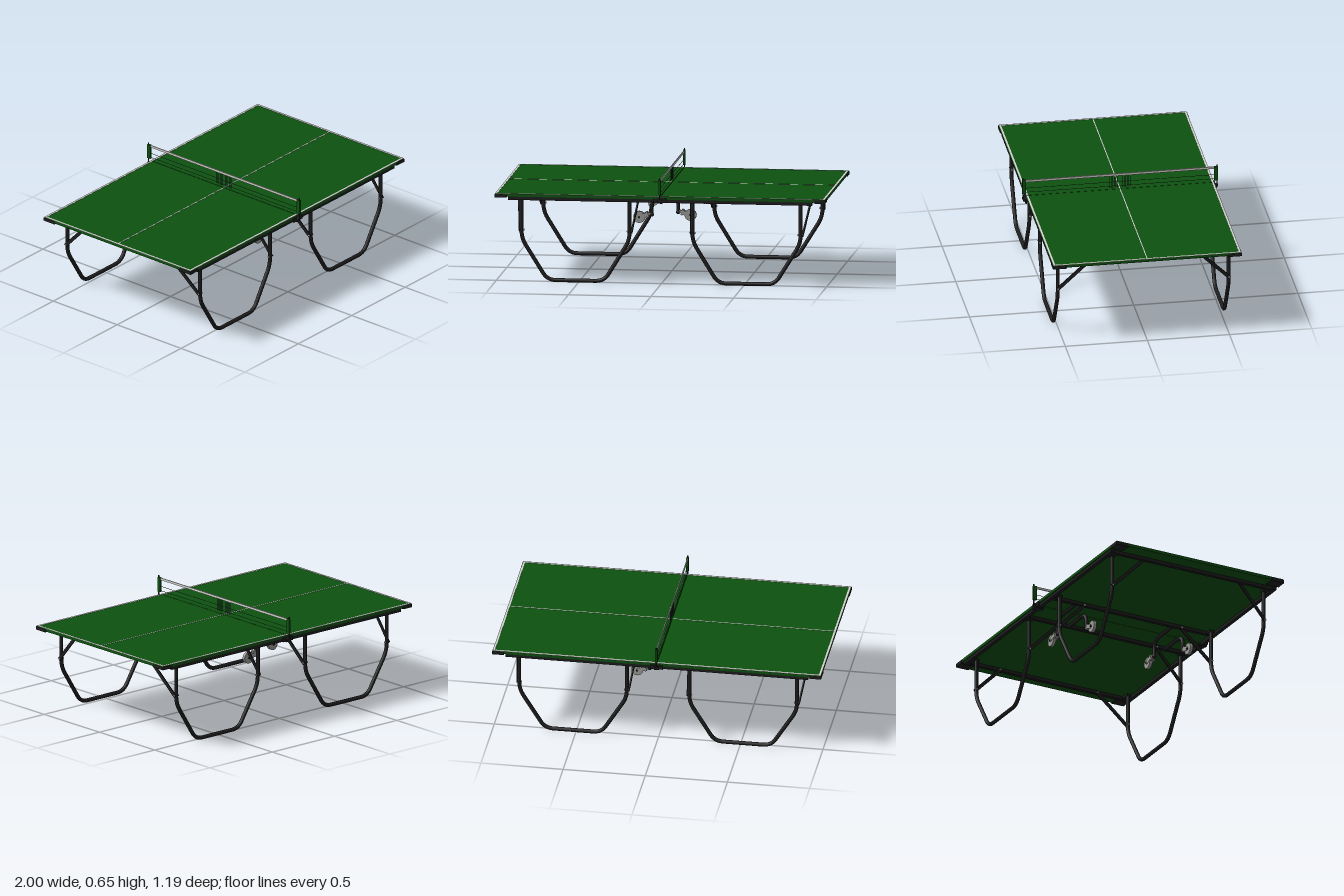
import * as THREE from 'three';

const mat = (name, color) => {
  const m = new THREE.MeshStandardMaterial({ color });
  m.name = name;
  return m;
};

export function createModel() {
  const green = mat('table green', 0x0e5210);
  const black = mat('frame black', 0x1e1e1f);
  const white = mat('line white', 0xd2d2ce);
  const grey = mat('caster grey', 0x9c9c9a);
  const cord = mat('net cord', 0x30343a);
  const model = new THREE.Group();
  model.name = 'tableTennisTable';

  const add = (name, geometry, material, x = 0, y = 0, z = 0, parent = model) => {
    const m = new THREE.Mesh(geometry, material);
    m.name = name;
    m.position.set(x, y, z);
    parent.add(m);
    return m;
  };
  const box = (name, material, w, h, d, x, y, z) =>
    add(name, new THREE.BoxGeometry(w, h, d), material, x, y, z);
  const rod = (name, material, r, len, x, y, z, axis = 'y') => {
    const g = new THREE.CylinderGeometry(r, r, len, 20);
    if (axis === 'z') g.rotateX(Math.PI / 2);
    if (axis === 'x') g.rotateZ(Math.PI / 2);
    return add(name, g, material, x, y, z);
  };

  // Flat bar between two points
  const bar = (name, material, a, b, thick, wide) => {
    const m = add(name, new THREE.BoxGeometry(thick, wide, a.distanceTo(b)), material);
    m.position.copy(a).lerp(b, 0.5);
    m.lookAt(b);
    return m;
  };

  // Bent tube: straight runs with rounded corners, in a plane of constant z
  const bentTube = (name, pts, z, r, bend) => {
    const p = pts.map(([x, y]) => new THREE.Vector3(x, y, z));
    const path = new THREE.CurvePath();
    let last = p[0];
    for (let i = 1; i < p.length - 1; i++) {
      const before = p[i].clone().add(p[i - 1].clone().sub(p[i]).setLength(bend));
      const after = p[i].clone().add(p[i + 1].clone().sub(p[i]).setLength(bend));
      path.add(new THREE.LineCurve3(last, before));
      path.add(new THREE.QuadraticBezierCurve3(before, p[i], after));
      last = after;
    }
    path.add(new THREE.LineCurve3(last, p[p.length - 1]));
    return add(name, new THREE.TubeGeometry(path, 90, r, 12, false), black);
  };

  const halfD = 0.572, topY = 0.54;

  for (const s of [-1, 1]) {
    // Playing surface half with its painted lines
    box('tabletop', green, 0.997, 0.017, halfD * 2, s * 0.5, topY - 0.0085, 0);
    const lineY = topY + 0.0006;
    box('endLine', white, 0.013, 0.0016, halfD * 2, s * 0.992, lineY, 0);
    for (const t of [-1, 1])
      box('sideLine', white, 0.984, 0.0016, 0.013, s * 0.4935, lineY, t * (halfD - 0.0065));
    box('centreLine', white, 0.984, 0.0016, 0.006, s * 0.4935, lineY, 0);

    // Cross members under the top
    for (const x of [0.9, 0.155])
      box('crossMember', black, 0.022, 0.02, 1.13, s * x, 0.512, 0);

    for (const t of [-1, 1]) {
      // Side rail and corner guard
      box('sideRail', black, 0.905, 0.02, 0.022, s * 0.4675, 0.5125, t * 0.556);
      box('cornerGuardEnd', black, 0.01, 0.016, 0.085, s * 0.9955, 0.5285, t * 0.5325);
      box('cornerGuardSide', black, 0.07, 0.016, 0.01, s * 0.9655, 0.5285, t * 0.57);
      box('cornerGuardPlate', black, 0.07, 0.006, 0.085, s * 0.9655, 0.52, t * 0.5325);

      // Looped leg
      bentTube('leg', [
        [s * 0.845, 0.515], [s * 0.845, 0.265], [s * 0.688, 0.013],
        [s * 0.345, 0.013], [s * 0.19, 0.265], [s * 0.19, 0.515],
      ], t * 0.52, 0.012, 0.05);

      // Leg mounts, diagonal braces and their bolts
      for (const [legX, topX] of [[0.845, 0.888], [0.19, 0.155]]) {
        box('legMount', black, Math.abs(topX - legX) + 0.025, 0.014, 0.03,
          s * (legX + topX) / 2, 0.512, t * 0.52);
        const out = Math.sign(topX - legX);
        const low = new THREE.Vector3(s * (legX + out * 0.012), 0.312, t * 0.525);
        const high = new THREE.Vector3(s * topX, 0.512, t * 0.328);
        bar('brace', black, low, high, 0.007, 0.021);
        rod('braceBolt', grey, 0.006, 0.034, s * legX, 0.317, t * 0.52, 'x');
        rod('braceBolt', grey, 0.006, 0.026, s * topX, 0.508, t * 0.333, 'x');
      }
    }

    // Caster arms reach across the fold and turn down
    for (const z of s > 0 ? [0.275, -0.385] : [0.39, -0.27]) {
      bentTube('casterArm', [
        [-s * 0.16, 0.507], [s * 0.073, 0.507], [s * 0.073, 0.4],
      ], z, 0.0115, 0.065);
      add('armCap', new THREE.SphereGeometry(0.0135, 16, 10), black, s * 0.073, 0.403, z);
      const hub = new THREE.Vector3(s * 0.148, 0.387, z);
      const root = new THREE.Vector3(s * 0.093, 0.405, z);
      bar('casterStem', grey, new THREE.Vector3(s * 0.07, 0.41, z), root, 0.018, 0.018);
      bar('forkBridge', grey, root, new THREE.Vector3(s * 0.105, 0.401, z), 0.03, 0.036);
      for (const t of [-1, 1]) {
        const off = new THREE.Vector3(0, 0, t * 0.0135);
        bar('forkPlate', grey, root.clone().add(off), hub.clone().add(off), 0.003, 0.026);
      }
      rod('casterWheel', grey, 0.036, 0.018, hub.x, hub.y, z, 'z');
      rod('wheelAxle', black, 0.007, 0.034, hub.x, hub.y, z, 'z');
    }
  }

  // Net: top band, cords and central mesh
  box('netBand', white, 0.006, 0.014, 1.15, 0, 0.636, 0);
  for (const y of [0.589, 0.562])
    box('netCord', cord, 0.002, 0.002, 1.15, 0, y, 0);
  for (let i = -7; i <= 7; i++)
    box('netStrand', cord, 0.0018, 0.076, 0.0018, 0, 0.592, i * 0.0088);

  // Net posts with sleeves and clamps
  for (const t of [-1, 1]) {
    box('netSleeve', green, 0.014, 0.09, 0.024, 0, 0.599, t * 0.584);
    rod('netPost', black, 0.004, 0.138, 0, 0.586, t * 0.591);
    box('clampArm', black, 0.022, 0.008, 0.035, 0, 0.522, t * 0.578);
    box('clampPlate', black, 0.08, 0.026, 0.008, 0, 0.517, t * 0.577);
    rod('clampKnob', black, 0.014, 0.012, 0, 0.517, t * 0.584, 'z');
    box('clampFoot', black, 0.03, 0.01, 0.05, 0, 0.504, t * 0.555);
  }
  return model;
}
